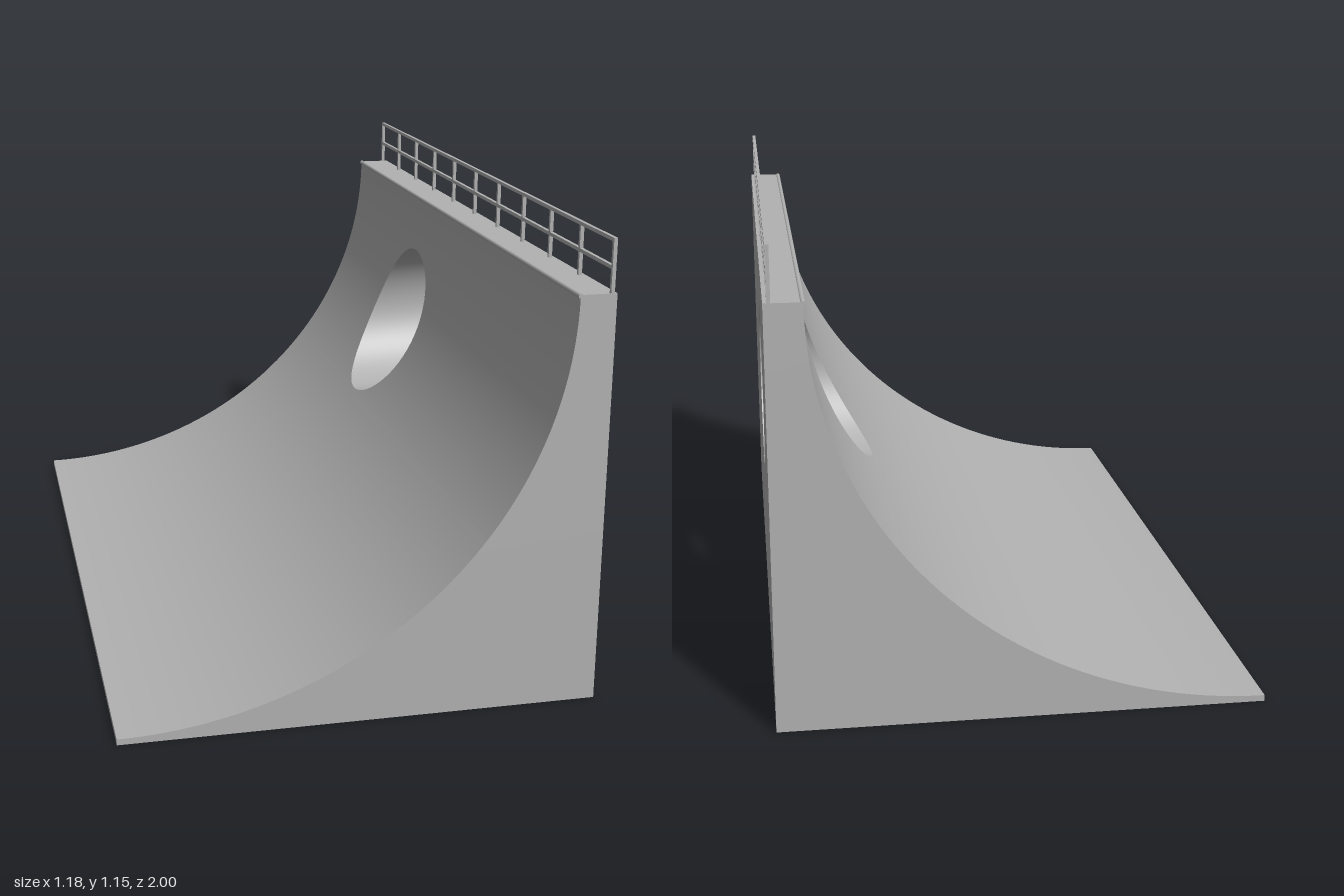
import * as THREE from 'three';
import { toCreasedNormals } from 'three/addons/utils/BufferGeometryUtils.js';

const BACK = 0.588, TOE = -0.59, LIP = 0.499, DECK = 1.024, TOE_H = 0.015, HALF = 0.996;
const HOLE = { y: 0.652, z: -0.277, r: 0.213 };

// Elliptical riding surface: x for a given height
function rampX(y) {
  if (y <= TOE_H) return TOE;
  const c = Math.min(1, (DECK - y) / (DECK - TOE_H));
  return TOE + (LIP - TOE) * Math.sqrt(1 - c * c);
}

// Half width of the round opening at a given height
function holeHalf(y) {
  return Math.sqrt(Math.max(0, HOLE.r ** 2 - (y - HOLE.y) ** 2));
}

// Heights that follow both the curve and the round opening
function makeLevels() {
  const levels = [];
  for (let i = 0; i <= 48; i++) {
    const y = DECK - (DECK - TOE_H) * Math.cos((i / 48) * Math.PI / 2);
    if (Math.abs(y - HOLE.y) > HOLE.r + 0.005) levels.push(y);
  }
  for (let i = 0; i <= 32; i++) levels.push(HOLE.y - HOLE.r * Math.cos((i / 32) * Math.PI));
  return levels.sort((a, b) => a - b);
}

function rampGeometry() {
  const pos = [];
  // Corners run counter-clockwise seen from outside
  const quad = (a, b, c, d) => pos.push(...a, ...b, ...c, ...a, ...c, ...d);
  const levels = makeLevels();

  // One strip of the riding surface and of the back wall between z0 and z1
  const strip = (y0, y1, z0, z1) => {
    const a = rampX(y0), b = rampX(y1);
    quad([a, y0, z0[0]], [a, y0, z1[0]], [b, y1, z1[1]], [b, y1, z0[1]]);
    quad([BACK, y0, z1[0]], [BACK, y0, z0[0]], [BACK, y1, z0[1]], [BACK, y1, z1[1]]);
  };

  const all = [0, ...levels];
  for (let i = 0; i < all.length - 1; i++) {
    const y0 = all[i], y1 = all[i + 1], a = rampX(y0), b = rampX(y1);
    // End faces
    quad([a, y0, HALF], [BACK, y0, HALF], [BACK, y1, HALF], [b, y1, HALF]);
    quad([BACK, y0, -HALF], [a, y0, -HALF], [b, y1, -HALF], [BACK, y1, -HALF]);
    const w0 = holeHalf(y0), w1 = holeHalf(y1);
    if (Math.max(w0, w1) < 1e-4) {
      strip(y0, y1, [-HALF, -HALF], [HALF, HALF]);
      continue;
    }
    const near = [HOLE.z + w0, HOLE.z + w1], far = [HOLE.z - w0, HOLE.z - w1];
    strip(y0, y1, [-HALF, -HALF], far);
    strip(y0, y1, near, [HALF, HALF]);
    // Inside of the round opening
    quad([a, y0, near[0]], [a, y0, far[0]].map((v, k) => (k === 0 ? BACK : k === 2 ? near[0] : v)),
      [BACK, y1, near[1]], [b, y1, near[1]]);
    pos.splice(-18);
    quad([BACK, y0, near[0]], [a, y0, near[0]], [b, y1, near[1]], [BACK, y1, near[1]]);
    quad([a, y0, far[0]], [BACK, y0, far[0]], [BACK, y1, far[1]], [b, y1, far[1]]);
  }
  // Deck and underside
  quad([LIP, DECK, HALF], [BACK, DECK, HALF], [BACK, DECK, -HALF], [LIP, DECK, -HALF]);
  quad([TOE, 0, -HALF], [BACK, 0, -HALF], [BACK, 0, HALF], [TOE, 0, HALF]);

  const geo = new THREE.BufferGeometry();
  geo.setAttribute('position', new THREE.Float32BufferAttribute(pos, 3));
  return toCreasedNormals(geo, 0.4);
}

export function createModel() {
  const model = new THREE.Group();
  model.name = 'quarterPipe';
  const concrete = new THREE.MeshStandardMaterial({ color: 0xb2b2b2 });
  concrete.name = 'concrete grey';

  const add = (parent, name, geo, x = 0, y = 0, z = 0) => {
    const mesh = new THREE.Mesh(geo, concrete);
    mesh.name = name;
    mesh.position.set(x, y, z);
    parent.add(mesh);
  };

  add(model, 'ramp', rampGeometry());

  // Thin pipe along the lip
  add(model, 'coping', new THREE.CylinderGeometry(0.006, 0.006, 2 * HALF, 12).rotateX(Math.PI / 2), 0.5, DECK - 0.003);

  // Safety railing
  const railing = new THREE.Group();
  railing.name = 'railing';
  model.add(railing);
  const T = 0.009, RAIL_X = 0.575, TOP = 1.154;
  for (const y of [TOP - T / 2, 1.085]) {
    add(railing, 'rail', new THREE.BoxGeometry(T, T, 2), RAIL_X, y);
  }
  for (let i = 0; i <= 10; i++) {
    const z = (i / 5 - 1) * (1 - T / 2);
    add(railing, 'post', new THREE.BoxGeometry(T, TOP - DECK, T), RAIL_X, (TOP + DECK) / 2, z);
  }
  return model;
}
